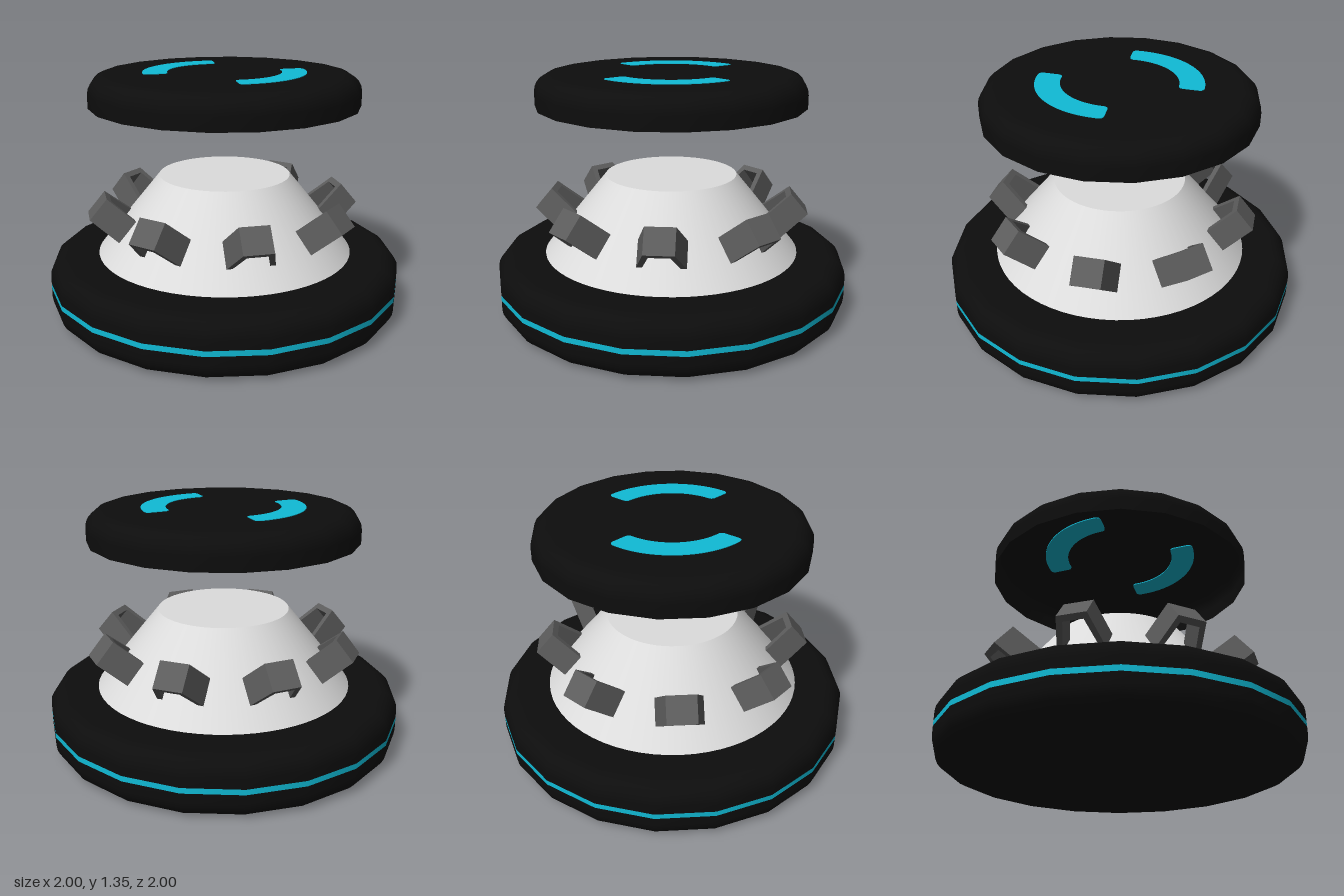
import * as THREE from 'three';

const mat = (name, color, side = THREE.FrontSide) => {
  const m = new THREE.MeshStandardMaterial({ color, side });
  m.name = name;
  return m;
};

export function createModel() {
  const root = new THREE.Group();
  const black = mat('black', 0x0d0d0d);
  const blackShell = black.clone();
  blackShell.side = THREE.DoubleSide;
  const cyan = mat('cyan', 0x10bbd6);
  const grey = mat('grey', 0x5c5c5c);
  const white = mat('white', 0xdcdcdc);

  const add = (name, geo, material, parent = root) => {
    const mesh = new THREE.Mesh(geo, material);
    mesh.name = name;
    parent.add(mesh);
    return mesh;
  };

  // Twenty-sided turned part from [radius, height] pairs, bottom to top
  const turned = (pts) =>
    new THREE.LatheGeometry(pts.map(([r, y]) => new THREE.Vector2(r, y)), 20);
  // Quarter-round edge between a flat face and the side wall
  const round = (r, y, c, from, to) => Array.from({ length: 6 }, (_, i) => {
    const a = from + (to - from) * i / 5;
    return [r - c + c * Math.cos(a), y + c * Math.sin(a)];
  });
  const Q = Math.PI / 2;

  // Base puck in two halves with a glowing band between them
  add('baseLower', turned([[0, 0], ...round(1, 0.1, 0.1, -Q, 0), [1, 0.15]]), black);
  add('baseStripe', turned([[1, 0.15], [1, 0.18]]), cyan);
  add('baseUpper', turned([[1, 0.18], ...round(1, 0.23, 0.1, 0, Q), [0, 0.33]]), black);

  // Smooth tapered body
  add('coneBody', new THREE.CylinderGeometry(0.37, 0.725, 0.44, 64), white)
    .position.y = 0.55;

  // Floating cap, hollow underneath
  add('floatingCap', turned([[0.75, 1.17], ...round(0.75, 1.245, 0.1, 0, Q), [0, 1.345]]),
    blackShell);

  // Two curved lights with rounded ends, set through the cap
  const arc = new THREE.Shape();
  const inner = 0.315, outer = 0.45, c = 0.03;
  const start = Q - 0.05, end = 2 * Q + 0.05;
  const at = (r, a) => [r * Math.cos(a), r * Math.sin(a)];
  const so = c / outer, si = c / inner;
  arc.moveTo(...at(outer, start + so));
  arc.absarc(0, 0, outer, start + so, end - so, false);
  arc.quadraticCurveTo(...at(outer, end), ...at(outer - c, end));
  arc.lineTo(...at(inner + c, end));
  arc.quadraticCurveTo(...at(inner, end), ...at(inner, end - si));
  arc.absarc(0, 0, inner, end - si, start + si, true);
  arc.quadraticCurveTo(...at(inner, start), ...at(inner + c, start));
  arc.lineTo(...at(outer - c, start));
  arc.quadraticCurveTo(...at(outer, start), ...at(outer, start + so));
  const arcGeo = new THREE.ExtrudeGeometry(arc, { depth: 0.009, bevelEnabled: false, curveSegments: 20 });
  arcGeo.rotateX(-Q).translate(0, 1.339, 0);
  for (let i = 0; i < 2; i++) add('capLight', arcGeo, cyan).rotation.y = i * Math.PI;

  // Eight splayed brackets standing on the slope of the body
  const bracket = new THREE.Shape([
    [-0.13, -0.2], [-0.1, -0.2], [-0.055, -0.035], [0.055, -0.035],
    [0.1, -0.2], [0.13, -0.2], [0.08, 0], [-0.08, 0],
  ].map(([x, y]) => new THREE.Vector2(x, y)));
  const bracketGeo = new THREE.ExtrudeGeometry(bracket, { depth: 0.15, bevelEnabled: false });
  bracketGeo.translate(0, 0, -0.075)
    .rotateX(THREE.MathUtils.degToRad(50))
    .translate(0, 0.625, 0.725);
  const brackets = new THREE.Group();
  brackets.name = 'brackets';
  root.add(brackets);
  for (let i = 0; i < 8; i++) add('bracket', bracketGeo, grey, brackets).rotation.y = i * Math.PI / 4;

  return root;
}
